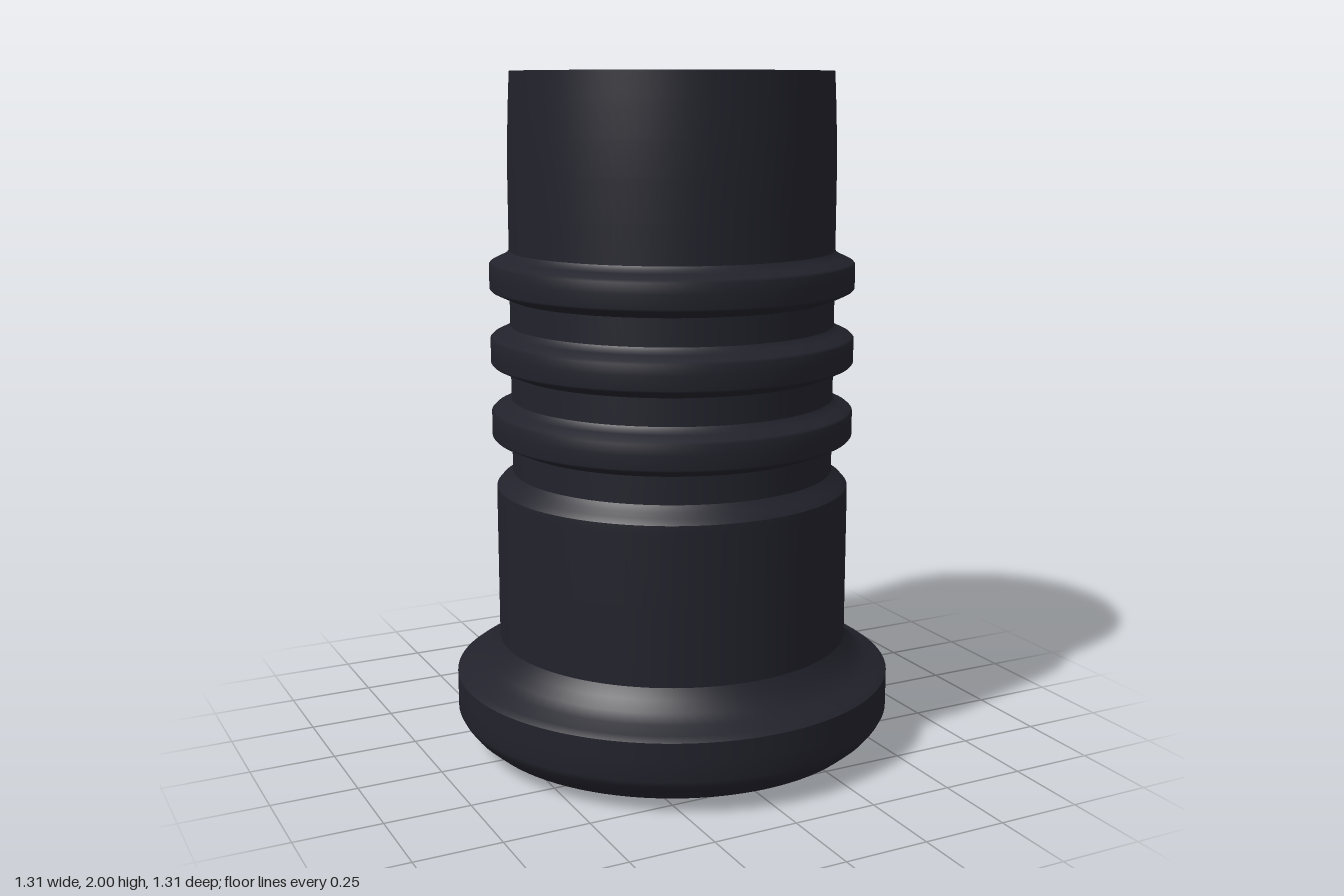
import * as THREE from 'three';

export function createModel() {
  const group = new THREE.Group();
  const rubber = new THREE.MeshStandardMaterial({ color: 0x22222c, side: THREE.DoubleSide });
  rubber.name = 'dark rubber';

  // Each section is an open band of revolution; seams between sections stay sharp
  const band = (name, profile) => {
    const points = profile.map(([r, y]) => new THREE.Vector2(r, y));
    const mesh = new THREE.Mesh(new THREE.LatheGeometry(points, 96), rubber);
    mesh.name = name;
    group.add(mesh);
    return mesh;
  };

  const neck = 0.477;

  // Rounded foot flange, open underneath
  band('footFlange', [
    [0.505, 0], [0.54, 0.012], [0.59, 0.034], [0.625, 0.064], [0.645, 0.09],
    [0.655, 0.11], [0.655, 0.17], [0.655, 0.222],
  ]);
  // Concave shoulder up to the sleeve
  band('flangeShoulder', [
    [0.655, 0.222], [0.637, 0.235], [0.597, 0.25], [0.567, 0.272], [0.542, 0.3], [0.525, 0.33],
  ]);
  band('lowerSleeve', [[0.525, 0.33], [0.525, 0.56], [0.525, 0.77], [0.524, 0.792]]);
  band('sleeveShoulder', [[0.524, 0.792], [0.51, 0.808], [0.492, 0.82], [neck, 0.838]]);

  // Three sealing ridges with straight necks between them
  let neckStart = 0.838;
  for (let i = 0; i < 3; i++) {
    const y = 0.918 + i * 0.217;
    band(`neck${i + 1}`, [[neck, neckStart], [neck, y]]);
    band(`ridge${i + 1}`, [
      [neck, y], [0.505, y + 0.012], [0.53, y + 0.024], [0.535, y + 0.03],
      [0.535, y + 0.07], [0.535, y + 0.1], [0.528, y + 0.107],
      [0.5, y + 0.12], [0.485, y + 0.128], [neck, y + 0.138],
    ]);
    neckStart = y + 0.138;
  }

  // Upper tube, tapering slightly to its open end
  band('upperTube', [
    [neck, neckStart], [neck, 1.6], [neck, 1.72], [0.475, 1.82], [0.471, 1.92], [0.467, 2],
  ]);

  return group;
}
